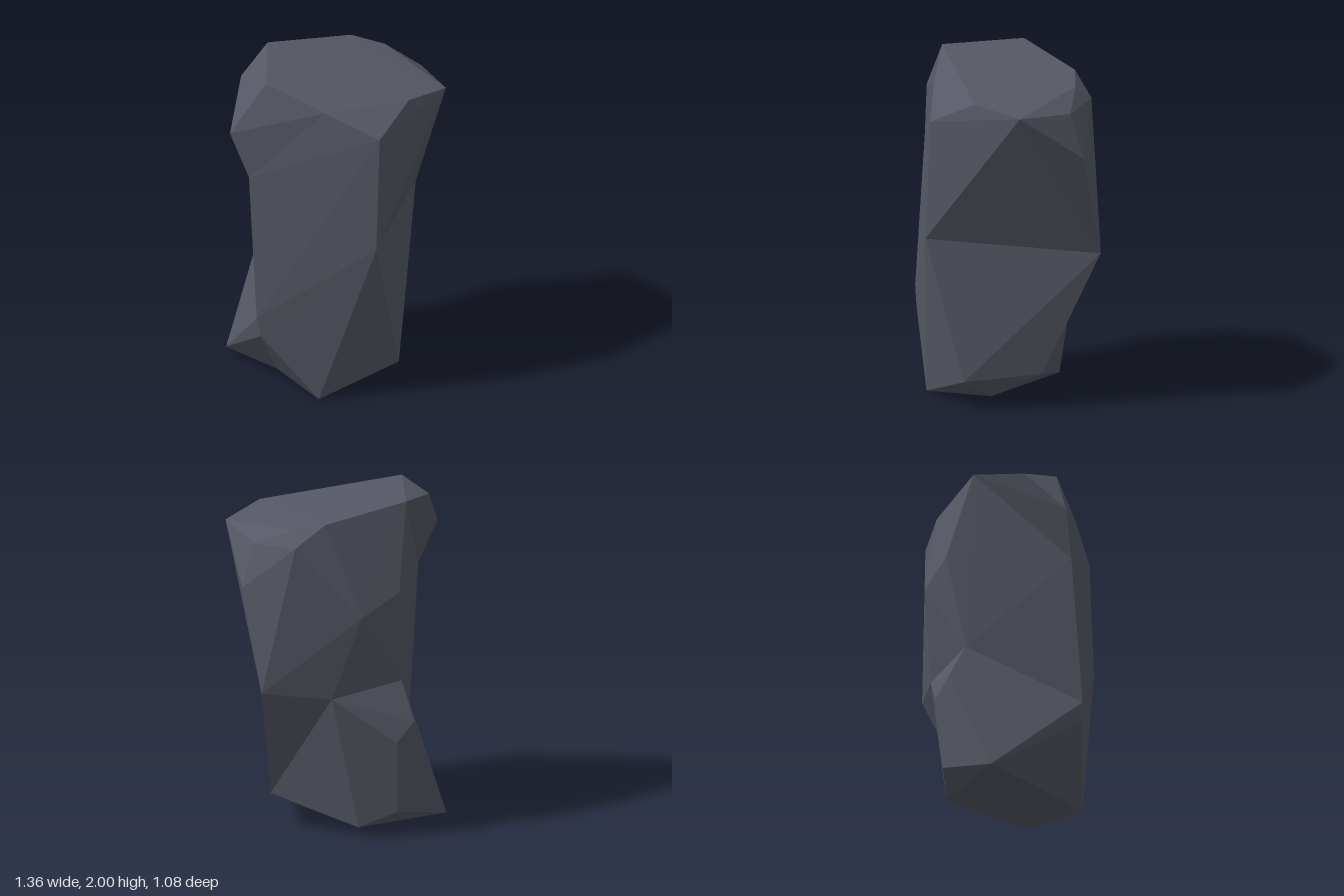
import * as THREE from 'three';
import { ConvexGeometry } from 'three/addons/geometries/ConvexGeometry.js';

// Corner points of the boulder, grouped by height
const P = {
  // crown
  peakBack: [-0.2, 2.0, -0.4], peakLeft: [-0.48, 1.99, -0.01], ridge: [-0.49, 1.94, -0.25],
  crownBack: [0.31, 1.94, -0.29], chipTop: [0.45, 1.9, -0.15], chipLow: [0.49, 1.82, -0.24],
  crownRight: [0.58, 1.8, 0.03], crownFront: [0.51, 1.83, 0.38], browRight: [0.21, 1.87, 0.44],
  browMid: [-0.01, 1.89, 0.27], browLeft: [-0.27, 1.86, 0.28],
  // shoulders
  chest: [-0.06, 1.73, 0.53], shoulder: [-0.68, 1.69, -0.09], armpit: [-0.61, 1.42, 0.0],
  sideRight: [0.675, 1.55, 0.02], backMid: [-0.07, 1.5, -0.5], backRight: [0.18, 1.39, -0.47],
  // waist
  waistFront: [-0.09, 1.02, 0.54], waistRight: [0.66, 0.94, -0.14],
  waistBackRight: [0.3, 0.88, -0.34], waistBack: [-0.15, 0.92, -0.42], waistLeft: [-0.61, 0.53, 0.08],
  // base
  hipBack: [-0.15, 0.7, -0.54], hipBackRight: [-0.02, 0.6, -0.54], hipLeft: [-0.59, 0.41, 0.09],
  footFront: [0.13, 0.18, 0.45], footRight: [0.41, 0.21, 0.09], toe: [-0.32, 0, 0.29],
  soleFront: [0.14, 0.05, 0.23], soleBack: [0.12, 0.06, -0.36], heel: [-0.05, 0.16, -0.51],
  spur: [-0.45, 0.05, -0.46], soleLeft: [-0.36, 0.05, -0.07],
};

// Overlapping convex chunks; the creases between them form the hollows
const chunks = {
  upperBoulder: [
    P.peakBack, P.peakLeft, P.crownBack, P.chipTop, P.chipLow, P.crownRight, P.crownFront,
    P.browRight, P.browMid, P.browLeft, P.chest, P.armpit, P.sideRight, P.backMid, P.backRight,
    P.waistFront, P.waistRight, P.waistBackRight, P.waistBack, P.waistLeft,
  ],
  shoulderKnob: [P.peakBack, P.peakLeft, P.ridge, P.shoulder, P.armpit, P.browLeft],
  rightWedge: [P.waistRight, P.waistFront, P.waistBackRight, P.waistBack, P.footRight, P.footFront],
  lowerBack: [
    P.waistFront, P.waistBackRight, P.waistBack, P.waistLeft, P.hipBack, P.hipBackRight, P.hipLeft,
    P.footFront, P.footRight, P.soleFront, P.soleBack, P.heel, P.spur, P.soleLeft,
  ],
  lowerFront: [
    P.waistFront, P.waistBack, P.waistLeft, P.hipLeft, P.footFront, P.footRight,
    P.soleFront, P.toe, P.soleLeft, P.soleBack,
  ],
};

export function createModel() {
  const group = new THREE.Group();
  group.name = 'boulder';
  const stone = new THREE.MeshStandardMaterial({ color: 0x555864, flatShading: true });
  stone.name = 'slate stone';
  for (const [name, corners] of Object.entries(chunks)) {
    const points = corners.map((corner) => new THREE.Vector3(...corner));
    const mesh = new THREE.Mesh(new ConvexGeometry(points), stone);
    mesh.name = name;
    group.add(mesh);
  }
  return group;
}
